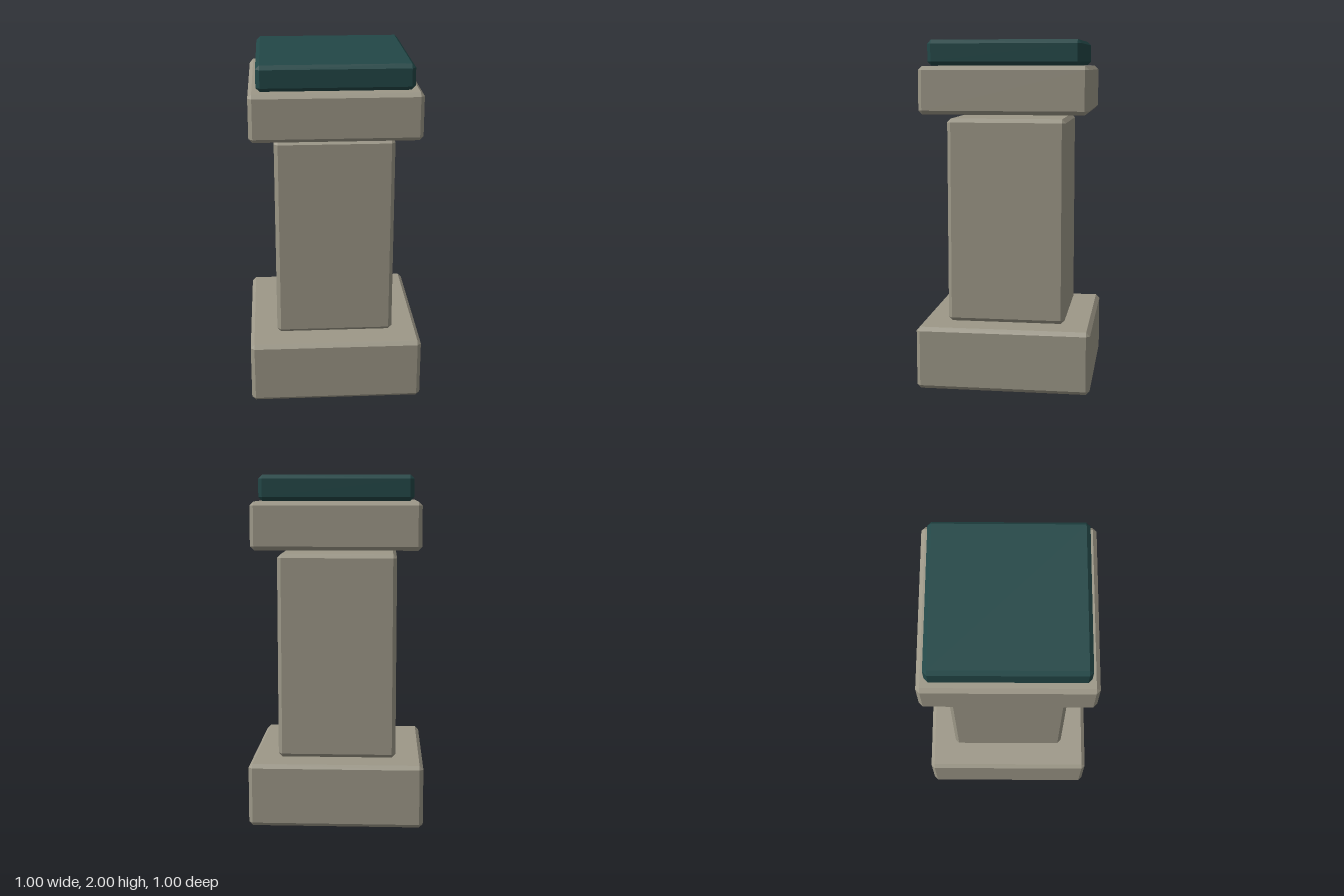
import * as THREE from 'three';
import { ConvexGeometry } from 'three/addons/geometries/ConvexGeometry.js';

const BEVEL = 0.022;

// Square block with every edge chamfered, from height y0 to y1
function chamferedBlock(name, half, y0, y1, material) {
  const h = (y1 - y0) / 2;
  const b = BEVEL;
  const points = [];
  for (const sx of [-1, 1]) for (const sy of [-1, 1]) for (const sz of [-1, 1]) {
    points.push(
      new THREE.Vector3(sx * half, sy * (h - b), sz * (half - b)),
      new THREE.Vector3(sx * (half - b), sy * h, sz * (half - b)),
      new THREE.Vector3(sx * (half - b), sy * (h - b), sz * half)
    );
  }
  const mesh = new THREE.Mesh(new ConvexGeometry(points), material);
  mesh.name = name;
  mesh.position.y = (y0 + y1) / 2;
  return mesh;
}

export function createModel() {
  const stone = new THREE.MeshStandardMaterial({ color: 0x9d9888 });
  stone.name = 'stone';
  const teal = new THREE.MeshStandardMaterial({ color: 0x224747 });
  teal.name = 'dark teal';

  const pedestal = new THREE.Group();
  pedestal.name = 'pedestal';
  pedestal.add(
    chamferedBlock('base', 0.5, 0, 0.365, stone),
    chamferedBlock('shaft', 0.342, 0.368, 1.555, stone),
    // The cap floats just above the shaft
    chamferedBlock('cap', 0.478, 1.584, 1.853, stone),
    chamferedBlock('topPad', 0.433, 1.856, 2, teal)
  );
  return pedestal;
}
